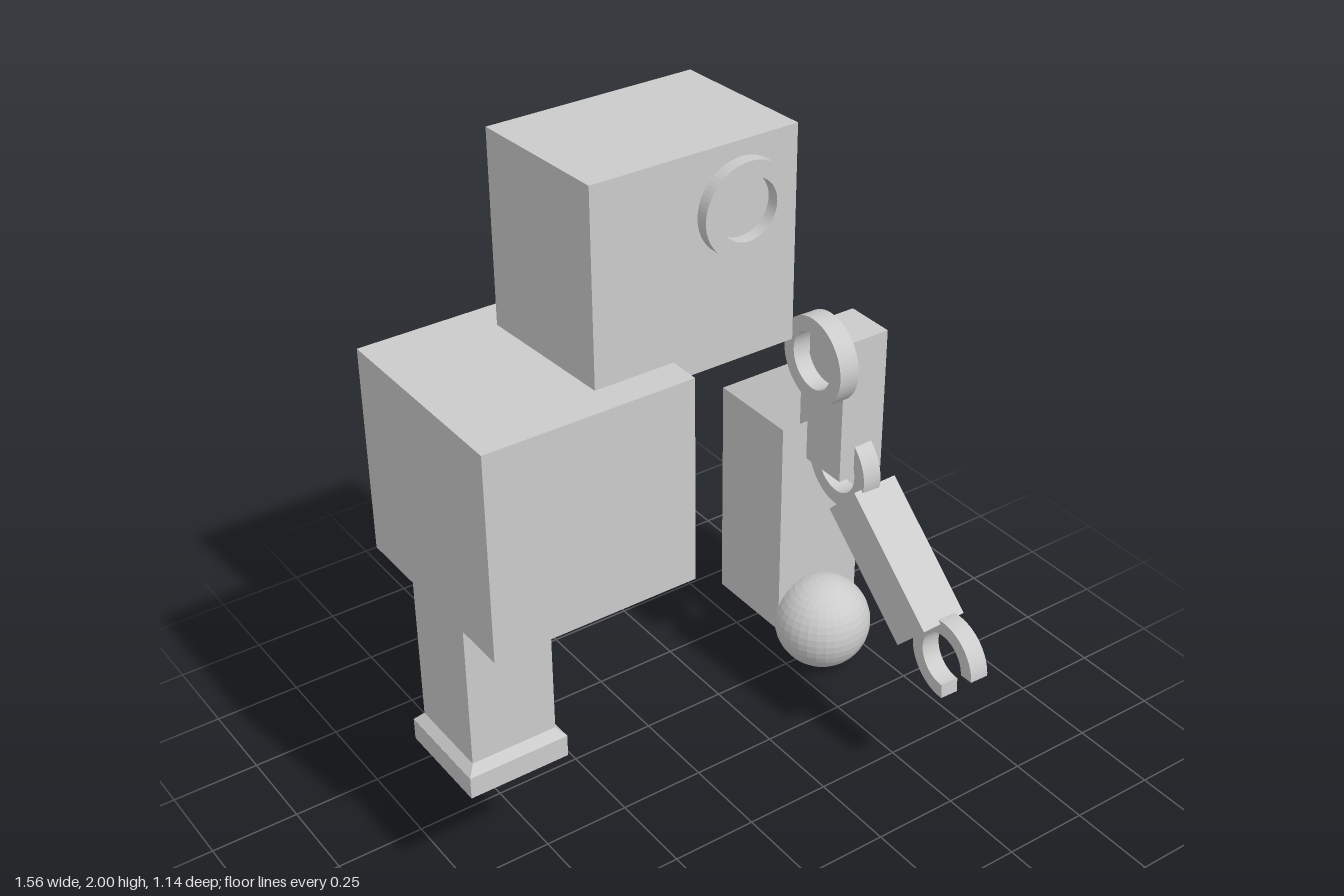
import * as THREE from 'three';

const material = new THREE.MeshStandardMaterial({ color: 0xcccccc, flatShading: true, side: THREE.DoubleSide });

function add(parent, name, geometry, x, y, z) {
  const mesh = new THREE.Mesh(geometry, material);
  mesh.name = name;
  mesh.position.set(x, y, z);
  parent.add(mesh);
  return mesh;
}

// Thin-walled box with one side left out (0 = +x, 2 = +y)
function openBox(w, h, d, missingSide) {
  const g = new THREE.BoxGeometry(w, h, d);
  const index = Array.from(g.index.array);
  index.splice(missingSide * 6, 6);
  g.setIndex(index);
  g.clearGroups();
  return g;
}

// Flat ring, or an open claw when a start and end angle are given
function ring(outer, inner, depth, start, end) {
  const shape = new THREE.Shape();
  if (start === undefined) {
    shape.absarc(0, 0, outer, 0, Math.PI * 2, false);
    shape.holes.push(new THREE.Path().absarc(0, 0, inner, 0, Math.PI * 2, true));
  } else {
    shape.absarc(0, 0, outer, start, end, false);
    shape.absarc(0, 0, inner, end, start, true);
    shape.closePath();
  }
  const g = new THREE.ExtrudeGeometry(shape, { depth, bevelEnabled: false, curveSegments: 32 });
  return g.translate(0, 0, -depth / 2);
}

// Square block that may taper from bottom to top
function squareBlock(topWidth, bottomWidth, height) {
  return new THREE.CylinderGeometry(topWidth / Math.SQRT2, bottomWidth / Math.SQRT2, height, 4)
    .rotateY(Math.PI / 4);
}

export function createModel() {
  const model = new THREE.Group();
  model.name = 'dismantledRobot';

  // Hollow body, open where the arm came off
  add(model, 'body', openBox(0.575, 0.575, 0.575, 0), -0.478, 1.195, -0.034);

  // Slightly skewed head with a ring eye
  const headGeometry = new THREE.BoxGeometry(0.572, 0.57, 0.395);
  headGeometry.applyMatrix4(new THREE.Matrix4().set(
    1, 0, 0.06, 0,
    0, 1, 0, 0,
    0, 0, 1, 0,
    0, 0, 0, 1));
  headGeometry.computeVertexNormals();
  add(model, 'head', headGeometry, -0.137, 1.715, -0.031);
  add(model, 'eye', ring(0.122, 0.08, 0.035), 0, 1.837, 0.182);

  // Attached leg and flared foot
  const leg = new THREE.Group();
  leg.name = 'attachedLeg';
  leg.position.set(-0.64, 0, -0.022);
  add(leg, 'shin', squareBlock(0.243, 0.243, 0.45), 0, 0.705, 0);
  add(leg, 'ankle', squareBlock(0.243, 0.286, 0.025), 0, 0.476, 0);
  add(leg, 'foot', squareBlock(0.286, 0.286, 0.064), 0, 0.432, 0);
  model.add(leg);

  // Loose arm
  const arm = new THREE.Group();
  arm.name = 'looseArm';
  add(arm, 'upperArm', new THREE.BoxGeometry(0.14, 0.415, 0.143), 0.46, 1.092, 0.023);
  const forearm = add(arm, 'forearm', new THREE.BoxGeometry(0.14, 0.145, 0.41), 0.486, 0.669, 0.23);
  forearm.rotation.set(0.756, 0.02, 0);
  const joints = [
    ['shoulderRing', ring(0.122, 0.08, 0.058), 0.368, 1.24, 0.026],
    ['elbowRing', ring(0.122, 0.08, 0.055), 0.467, 0.88, 0.02],
    ['clawHand', ring(0.122, 0.08, 0.055, -1.66, 3.1), 0.505, 0.47, 0.445],
  ];
  for (const [name, geometry, x, y, z] of joints) {
    add(arm, name, geometry, x, y, z).rotation.y = Math.PI / 2 - 0.03;
  }
  model.add(arm);

  // Loose leg, hollow with an open top, and the ball beside it
  add(model, 'looseLeg', openBox(0.288, 0.703, 0.286, 2), 0.637, 0.463, -0.427);
  add(model, 'ball', new THREE.SphereGeometry(0.143, 32, 20), 0.605, 0.145, -0.215);

  return model;
}
